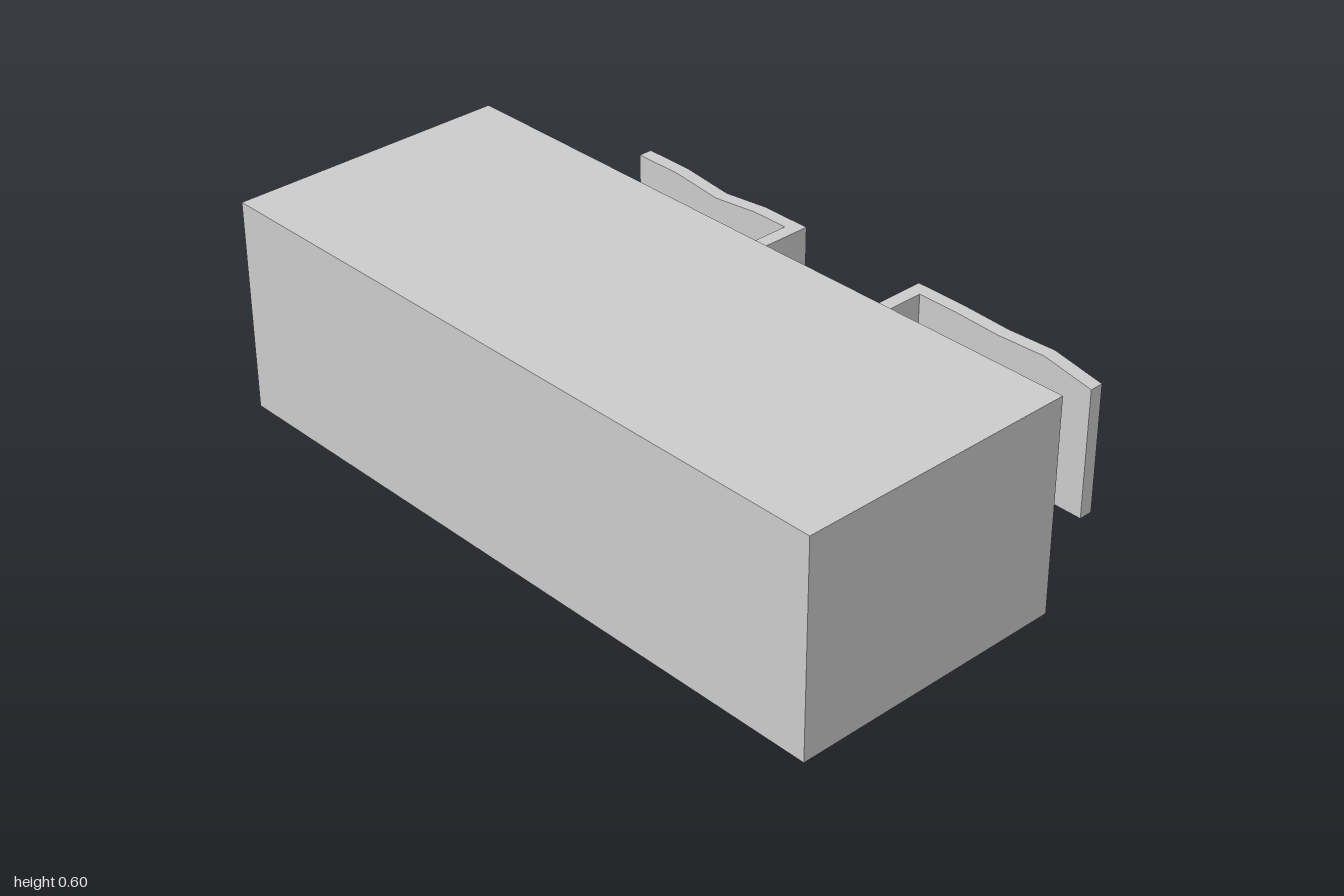
import * as THREE from 'three';

const material = new THREE.MeshStandardMaterial({ color: 0xcccccc, flatShading: true });

function part(name, geometry, x = 0, y = 0, z = 0) {
  const mesh = new THREE.Mesh(geometry, material);
  mesh.name = name;
  mesh.position.set(x, y, z);
  return mesh;
}

const polygon = (points) => new THREE.Shape(points.map(([a, b]) => new THREE.Vector2(a, b)));

export function createModel() {
  const group = new THREE.Group();
  const floorTop = 0.004, ceiling = 0.5;

  // Plan of the walls: a block with two rooms, each opening through a narrower doorway at x = 0.2
  const notch = (c) => [
    [0.2, c - 0.167], [0.16, c - 0.167], [0.16, c - 0.333], [-0.56, c - 0.333],
    [-0.56, c + 0.333], [0.16, c + 0.333], [0.16, c + 0.167], [0.2, c + 0.167],
  ];
  const plan = polygon([[-0.6, -1], [0.2, -1], ...notch(-0.5), ...notch(0.5), [0.2, 1], [-0.6, 1]]);
  const walls = new THREE.ExtrudeGeometry(plan, { depth: ceiling - floorTop, bevelEnabled: false });
  walls.rotateX(-Math.PI / 2);
  group.add(part('walls', walls, 0, floorTop, 0));

  // Floor sheet and roof slab
  group.add(part('floor', new THREE.BoxGeometry(0.8, floorTop, 2), -0.2, floorTop / 2, 0));
  group.add(part('roof', new THREE.BoxGeometry(0.8, 0.6 - ceiling, 2), -0.2, (0.6 + ceiling) / 2, 0));

  // L-shaped yard walls; the screen has an uneven top, given at z = 0.2, 0.35, 0.5, 0.65, 0.8
  const screens = [
    { side: 1, tops: [0.4, 0.4, 0.394, 0.4, 0.372] },
    { side: -1, tops: [0.4, 0.4, 0.384, 0.4, 0.4] },
  ];
  for (const { side, tops } of screens) {
    const yard = new THREE.Group();
    yard.name = side > 0 ? 'frontYardWall' : 'backYardWall';
    yard.add(part('returnWall', new THREE.BoxGeometry(0.36, 0.4, 0.04), 0.38, 0.2, side * 0.22));

    // Profile drawn in (-z, y), then turned to extrude along x
    const outline = [[-side * 0.2, 0], ...tops.map((y, i) => [-side * (0.2 + 0.15 * i), y]), [-side * 0.8, 0]];
    const screen = new THREE.ExtrudeGeometry(polygon(outline), { depth: 0.04, bevelEnabled: false });
    screen.rotateY(Math.PI / 2);
    yard.add(part('screenWall', screen, 0.56, 0, 0));
    group.add(yard);
  }
  return group;
}
